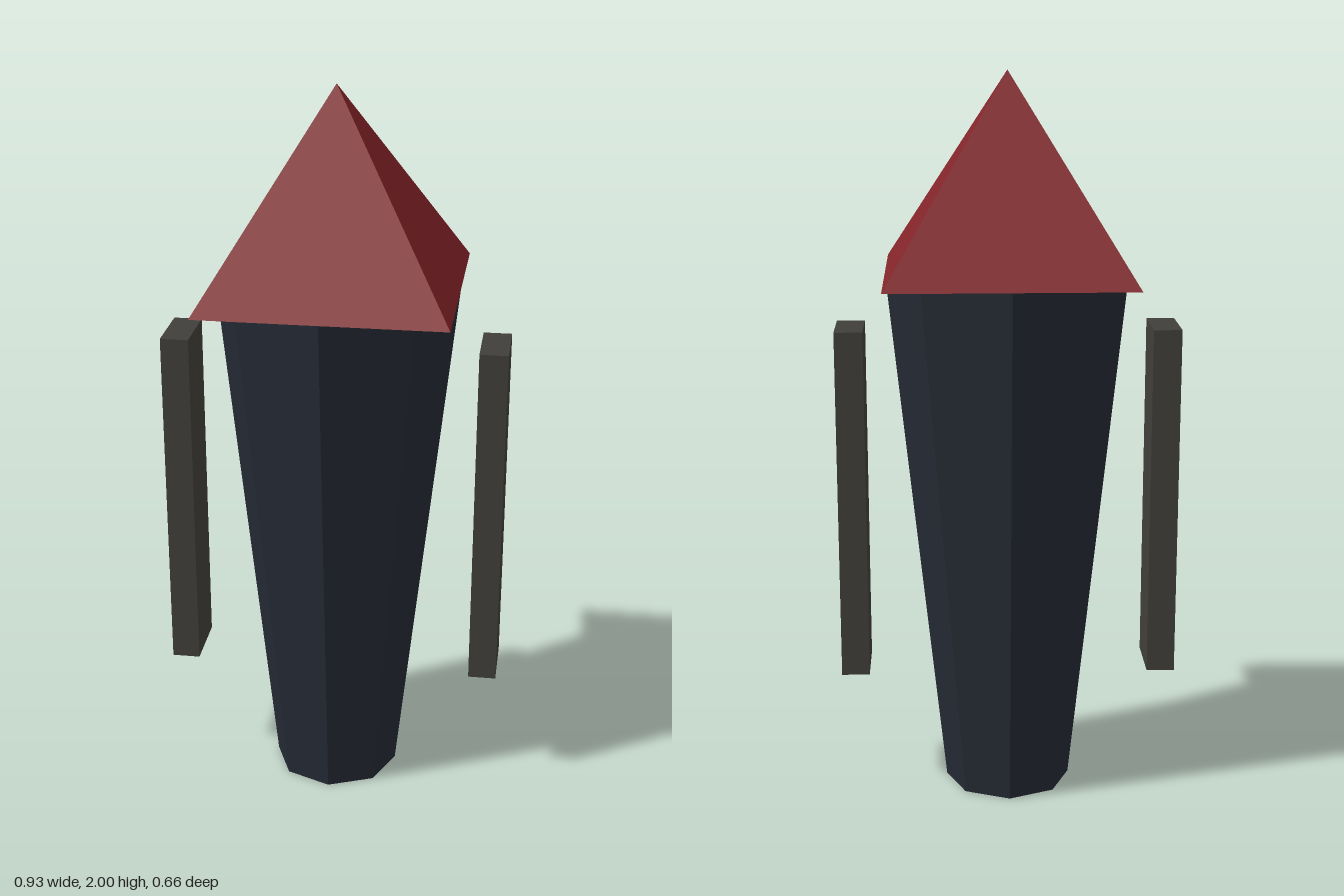
import * as THREE from 'three';

const SHOULDER = 1.465; // height where the body meets the cap

function part(name, geometry, color, x, y) {
  const material = new THREE.MeshStandardMaterial({ color, flatShading: true });
  const mesh = new THREE.Mesh(geometry, material);
  mesh.name = name;
  mesh.position.set(x, y, 0);
  return mesh;
}

export function createModel() {
  const model = new THREE.Group();
  model.name = 'model';

  // Eight-sided body, tapering towards the foot
  const body = new THREE.CylinderGeometry(0.33, 0.175, SHOULDER, 8);
  model.add(part('body', body, 0x252a34, 0, SHOULDER / 2));

  // Square pyramid cap with its sides facing the axes
  const capHeight = 2 - SHOULDER;
  const cap = new THREE.ConeGeometry(0.33 * Math.SQRT2, capHeight, 4);
  cap.rotateY(Math.PI / 4);
  model.add(part('cap', cap, 0x842428, 0, SHOULDER + capHeight / 2));

  // Free-standing side slabs, mirrored
  for (const [name, side] of [['leftArm', 1], ['rightArm', -1]]) {
    const slab = new THREE.BoxGeometry(0.077, 0.975, 0.174);
    model.add(part(name, slab, 0x413f3a, side * 0.428, 0.832));
  }

  return model;
}
